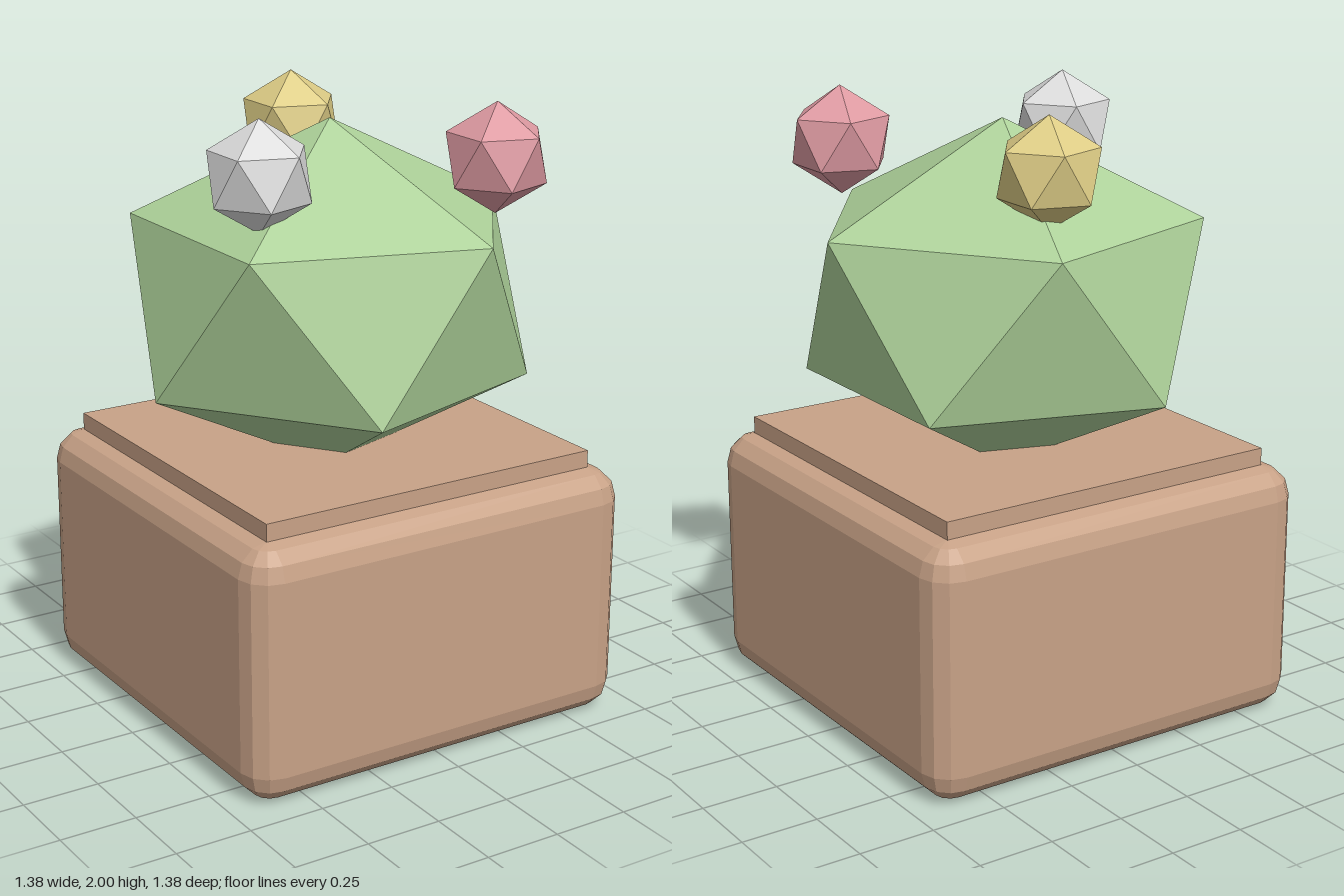
import * as THREE from 'three';
import { ConvexGeometry } from 'three/addons/geometries/ConvexGeometry.js';

const paint = (name, color) => {
  const m = new THREE.MeshStandardMaterial({ color });
  m.name = name;
  m.flatShading = true;
  return m;
};

// Twenty-sided solid standing on a point, upper ring starting at +x
function icosahedron(rx, ry) {
  const points = [new THREE.Vector3(0, ry, 0), new THREE.Vector3(0, -ry, 0)];
  const ring = (rx * 2) / Math.sqrt(5), h = ry / Math.sqrt(5);
  for (let i = 0; i < 10; i++) {
    const a = (i * Math.PI) / 5;
    points.push(new THREE.Vector3(ring * Math.cos(a), i % 2 ? -h : h, ring * Math.sin(a)));
  }
  return new ConvexGeometry(points);
}

// Box with faceted round edges: the hull of eight sphere octants
function roundedBox(w, h, d, r, steps) {
  const points = [];
  for (const sx of [-1, 1]) for (const sy of [-1, 1]) for (const sz of [-1, 1]) {
    for (let i = 0; i <= steps; i++) {
      const lat = (i / steps) * Math.PI / 2;
      const count = i === steps ? 0 : steps; // single point at the pole
      for (let j = 0; j <= count; j++) {
        const lon = (j / steps) * Math.PI / 2;
        points.push(new THREE.Vector3(
          sx * (w / 2 - r + r * Math.cos(lat) * Math.cos(lon)),
          sy * (h / 2 - r + r * Math.sin(lat)),
          sz * (d / 2 - r + r * Math.cos(lat) * Math.sin(lon))
        ));
      }
    }
  }
  return new ConvexGeometry(points);
}

export function createModel() {
  const model = new THREE.Group();
  model.name = 'pottedPlant';
  const clay = paint('clay', 0xc8a287);
  const green = paint('leafGreen', 0xaed29a);
  const add = (name, geometry, material, x, y, z) => {
    const mesh = new THREE.Mesh(geometry, material);
    mesh.name = name;
    mesh.position.set(x, y, z);
    model.add(mesh);
  };

  // Pot and the slab on top of it
  add('pot', roundedBox(1.38, 0.83, 1.38, 0.1, 3), clay, 0, 0.415, 0);
  add('potSlab', new THREE.BoxGeometry(1.19, 0.11, 1.19), clay, 0, 0.83, 0);

  // Plant body, slightly flattened, its lower tip sunk into the slab
  add('plantBody', icosahedron(0.71, 0.57), green, 0, 1.35, 0);

  // Flower buds
  const bud = icosahedron(0.175, 0.175);
  add('pinkBud', bud, paint('pink', 0xde9aa2), 0.355, 1.825, 0.395);
  add('yellowBud', bud, paint('yellow', 0xdecd86), 0.1, 1.825, -0.395);
  add('whiteBud', bud, paint('paleGrey', 0xdcdcdc), -0.395, 1.825, 0.235);

  return model;
}
